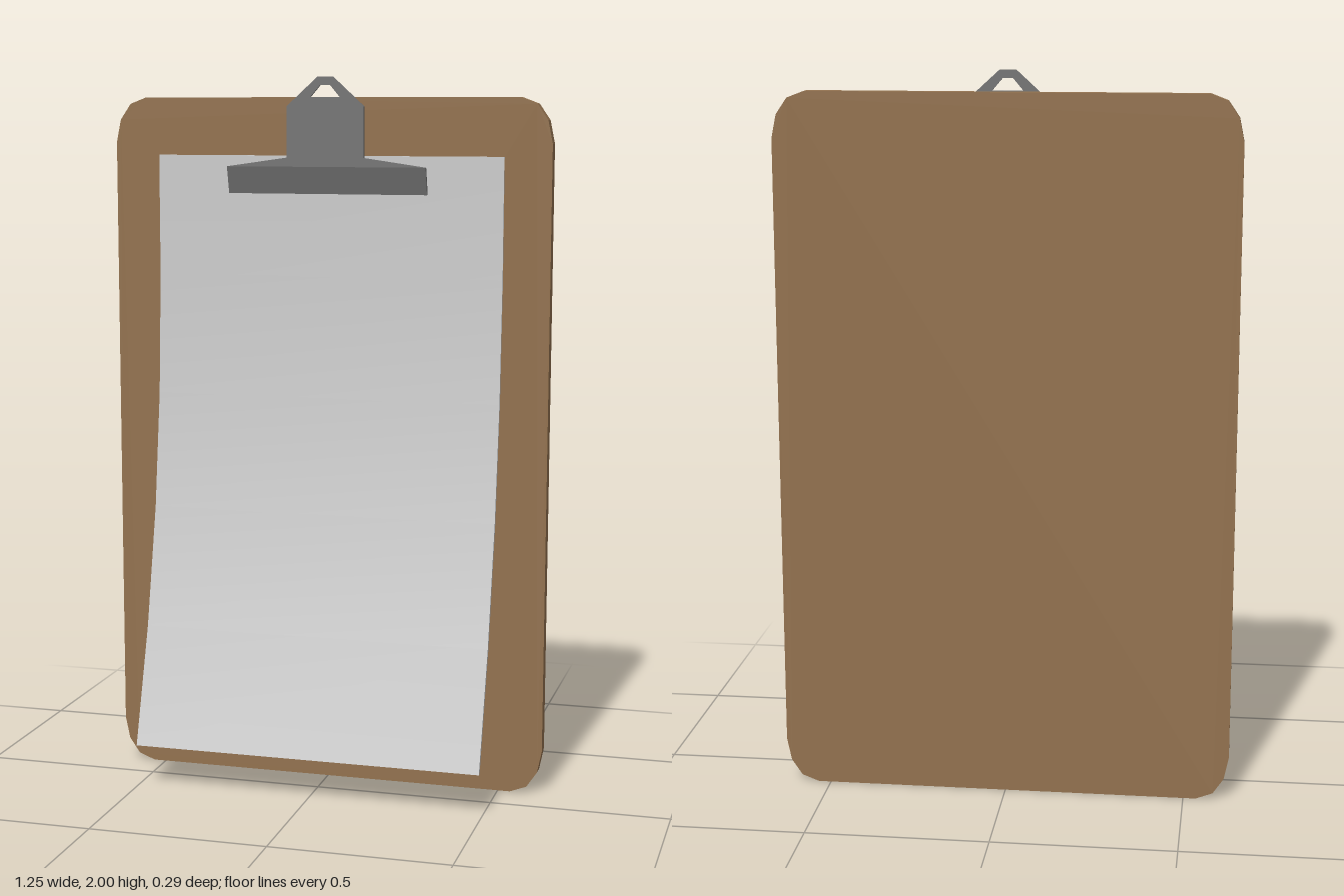
import * as THREE from 'three';
import { toCreasedNormals } from 'three/addons/utils/BufferGeometryUtils.js';

const shapeOf = (pts) => new THREE.Shape(pts.map(([x, y]) => new THREE.Vector2(x, y)));

// Mirror a right-hand outline (bottom to top) into a closed symmetric shape.
const mirrored = (half) => shapeOf([...half, ...half.map(([x, y]) => [-x, y]).reverse()]);

function slab(shape, depth) {
  return new THREE.ExtrudeGeometry(shape, { depth, bevelEnabled: false });
}

// Sweep a side profile of [z, y] points across the given width, centred on x = 0.
function sideSweep(points, width) {
  const geo = slab(shapeOf(points), width);
  geo.translate(0, 0, -width / 2);
  geo.rotateY(-Math.PI / 2);
  return toCreasedNormals(geo, 0.6);
}

function addPart(group, name, geometry, color) {
  const material = new THREE.MeshStandardMaterial({ color });
  const mesh = new THREE.Mesh(geometry, material);
  mesh.name = name;
  group.add(mesh);
  return mesh;
}

export function createModel() {
  const model = new THREE.Group();
  model.name = 'clipboard';

  // Wooden board with faceted corners
  const H = 1.945;
  const corner = [[0.535, 0], [0.582, 0.018], [0.612, 0.062], [0.625, 0.125]];
  const boardHalf = [...corner, ...corner.map(([x, y]) => [x, H - y]).reverse()];
  addPart(model, 'board', slab(mirrored(boardHalf), 0.036), 0x93724f)
    .position.z = -0.145;

  // Paper sheet curling forward towards the bottom
  const front = [[0.145, 0.125], [0.041, 0.45], [-0.036, 0.785], [-0.081, 1.11], [-0.101, 1.45], [-0.102, 1.785]];
  const back = front.map(([z, y], i) => [z - [0.011, 0.01, 0.009, 0.008, 0.006, 0.005][i], y]).reverse();
  addPart(model, 'paper', sideSweep([...front, ...back], 0.99), 0xcccccc);

  // Metal clip: flat plate with a hanging hole, and a jaw angled back to the paper
  const clip = new THREE.Group();
  clip.name = 'clip';
  model.add(clip);
  const metal = 0x747474;
  const plate = mirrored([[0.284, 1.755], [0.11, 1.78], [0.11, 1.92], [0.022, 2]]);
  plate.holes.push(new THREE.Path(
    [[-0.042, 1.945], [-0.014, 1.978], [0.014, 1.978], [0.042, 1.945]].map(([x, y]) => new THREE.Vector2(x, y))));
  addPart(clip, 'clipPlate', slab(plate, 0.008), metal).position.z = -0.079;
  const jaw = [[-0.071, 1.755], [-0.079, 1.755], [-0.101, 1.682], [-0.091, 1.68]];
  addPart(clip, 'clipJaw', sideSweep(jaw, 0.568), metal);

  return model;
}
